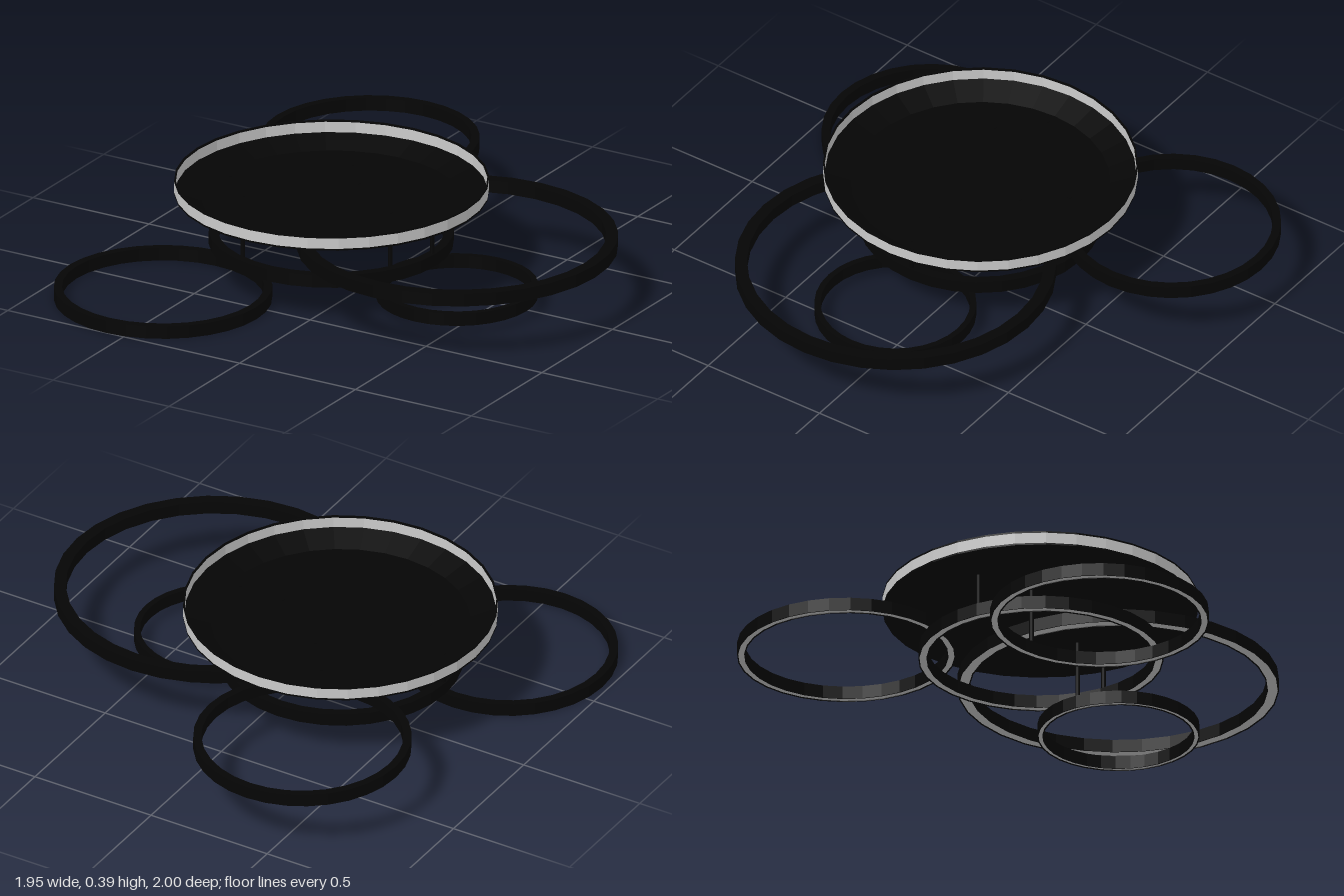
import * as THREE from 'three';

const SIDES = 32;
const black = new THREE.MeshStandardMaterial({ color: 0x050505, flatShading: true });
const grey = new THREE.MeshStandardMaterial({ color: 0xcccccc, flatShading: true });

// Revolve a profile of [radius, y] pairs, running up the outside
function lathe(name, profile, material, x, z) {
  const points = profile.map(([r, y]) => new THREE.Vector2(r, y));
  const mesh = new THREE.Mesh(new THREE.LatheGeometry(points, SIDES), material);
  mesh.name = name;
  mesh.position.set(x, 0, z);
  return mesh;
}

// Flat hoop: black band with a pale diffuser set into the underside
function hoop(name, x, z, radius, y0) {
  const inner = radius * 0.925, y1 = y0 + 0.049, lip = 0.004, yd = y0 + 0.003;
  const group = new THREE.Group();
  group.name = name;
  group.add(
    lathe('band', [
      [radius - lip, yd], [radius - lip, y0], [radius, y0], [radius, y1],
      [inner, y1], [inner, y0], [inner + lip, y0], [inner + lip, yd],
    ], black, x, z),
    lathe('diffuser', [[inner + lip, yd], [radius - lip, yd]], grey, x, z),
  );
  return group;
}

export function createModel() {
  const model = new THREE.Group();
  const cx = -0.16, cz = 0.085, R = 0.581, wall = 0.006;

  // Ceiling plate: shallow open pan, thin upright rim and dark lip
  model.add(
    lathe('ceilingPan', [
      [0, 0.3], [0.48, 0.3], [R, 0.332], [R, 0.339],
      [R - wall, 0.339], [0.478, 0.305], [0, 0.305],
    ], black, cx, cz),
    lathe('rim', [[R, 0.339], [R, 0.38], [R - wall, 0.38], [R - wall, 0.339]], grey, cx, cz),
    lathe('rimLip', [[R, 0.38], [R, 0.387], [R - wall, 0.387], [R - wall, 0.38]], black, cx, cz),
  );

  // Light hoops: x, z, outer radius, underside height
  model.add(
    hoop('backHoop', -0.41, -0.6, 0.403, 0.218),
    hoop('frontHoop', -0.575, 0.598, 0.403, 0),
    hoop('largeHoop', 0.384, 0.087, 0.593, 0.23),
    hoop('smallHoop', 0.383, 0.089, 0.299, 0.035),
    hoop('middleHoop', cx, 0.088, 0.452, 0.134),
  );

  // Suspension rods, pushed just through the pan: x, z, lower end
  const rods = [
    [-0.27, -0.238, 0.25], [-0.455, 0.23, 0.03], [-0.155, -0.094, 0.26],
    [0.096, 0.09, 0.07], [-0.6, 0.09, 0.165], [0.277, 0.09, 0.165],
  ];
  for (const [x, z, bottom] of rods) {
    const top = 0.307;
    const rod = new THREE.Mesh(new THREE.CylinderGeometry(0.009, 0.009, top - bottom, 12), black);
    rod.name = 'suspensionRod';
    rod.position.set(x, (top + bottom) / 2, z);
    model.add(rod);
  }
  return model;
}
